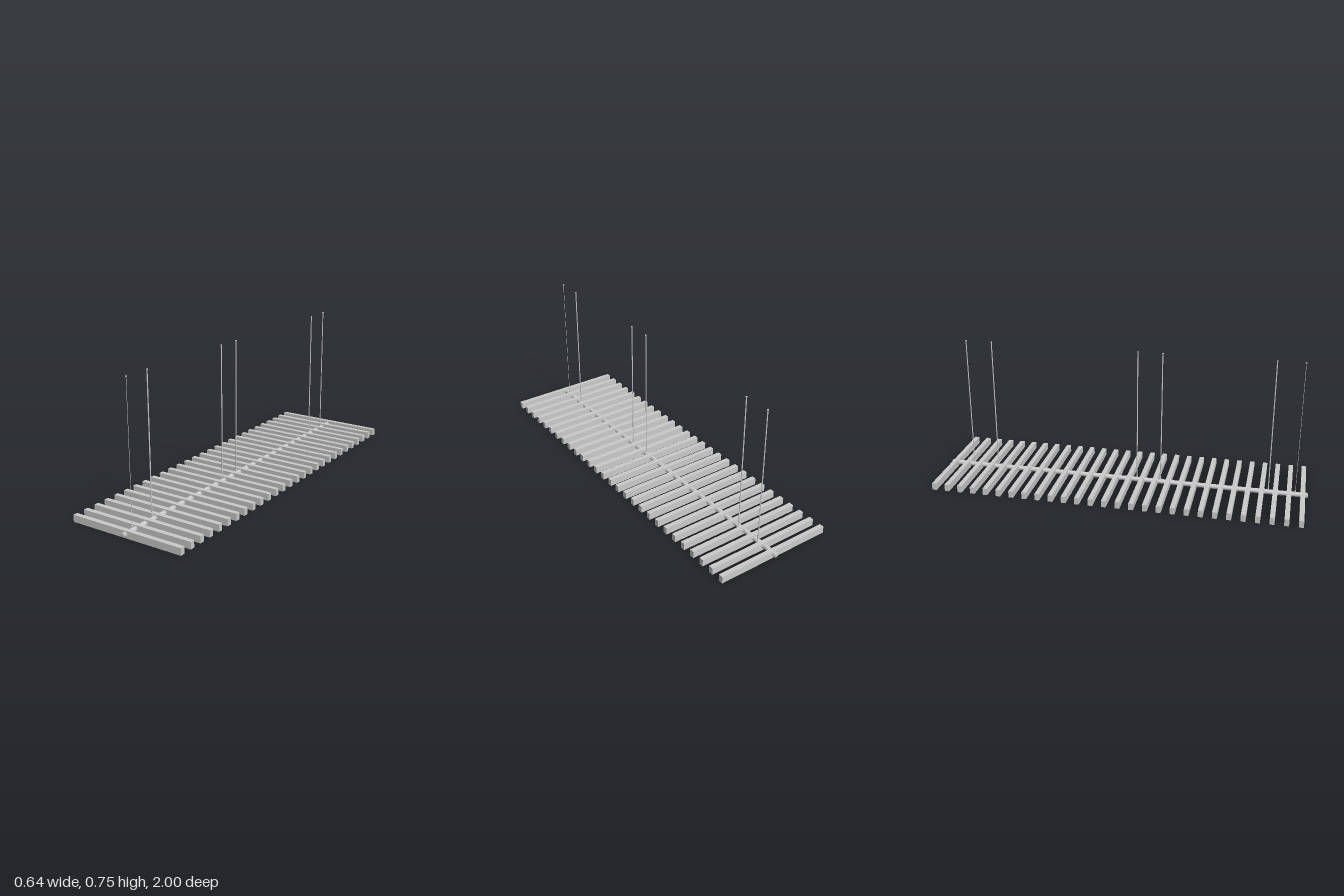
import * as THREE from 'three';

export function createModel() {
  const model = new THREE.Group();
  const material = new THREE.MeshStandardMaterial({ color: 0xcccccc });
  const add = (name, geometry, x, y, z, parent = model) => {
    const mesh = new THREE.Mesh(geometry, material);
    mesh.name = name;
    mesh.position.set(x, y, z);
    parent.add(mesh);
    return mesh;
  };
  const railY = 0.0185;

  // Row of evenly spaced slats, each with a collar around the rail
  const count = 28, first = -0.974, pitch = 0.0721;
  const slatGeometry = new THREE.BoxGeometry(0.64, 0.037, 0.025);
  const collarGeometry = new THREE.CylinderGeometry(0.015, 0.015, 0.033, 20).rotateX(Math.PI / 2);
  for (let i = 0; i < count; i++) {
    const z = first + i * pitch;
    add('slat', slatGeometry, 0, railY, z);
    add('slatCollar', collarGeometry, 0, railY, z);
  }

  // Central rail with chamfered ends
  const railProfile = [[0, -1], [0.01, -1], [0.013, -0.996], [0.013, 0.996], [0.01, 1], [0, 1]]
    .map(([r, y]) => new THREE.Vector2(r, y));
  const rail = add('rail', new THREE.LatheGeometry(railProfile, 24).rotateX(Math.PI / 2), 0, railY, 0);
  rail.name = 'centralRail';

  // End rings on the rail
  for (const s of [-1, 1]) {
    add('railEndRing', new THREE.TorusGeometry(0.0125, 0.003, 8, 24), 0, railY, s * 0.992);
  }

  // Three pairs of suspension rods, each with a foot and a top cap
  const top = 0.753, foot = 0.03;
  const rods = [[0.933, 0.0011], [0.791, 0.003], [0.209, 0.003], [0.078, 0.003], [-0.722, 0.003], [-0.866, 0.0028]];
  for (const [z, radius] of rods) {
    const rod = new THREE.Group();
    rod.name = 'suspensionRod';
    rod.position.z = z;
    model.add(rod);
    add('rodShaft', new THREE.CylinderGeometry(radius, radius, top - foot, 10), 0, (top + foot) / 2, 0, rod);
    add('rodFoot', new THREE.CylinderGeometry(0.004, 0.005, 0.014, 12), 0, 0.036, 0, rod);
    add('rodCap', new THREE.CylinderGeometry(0.005, 0.004, 0.005, 12), 0, top - 0.0025, 0, rod);
  }
  return model;
}
